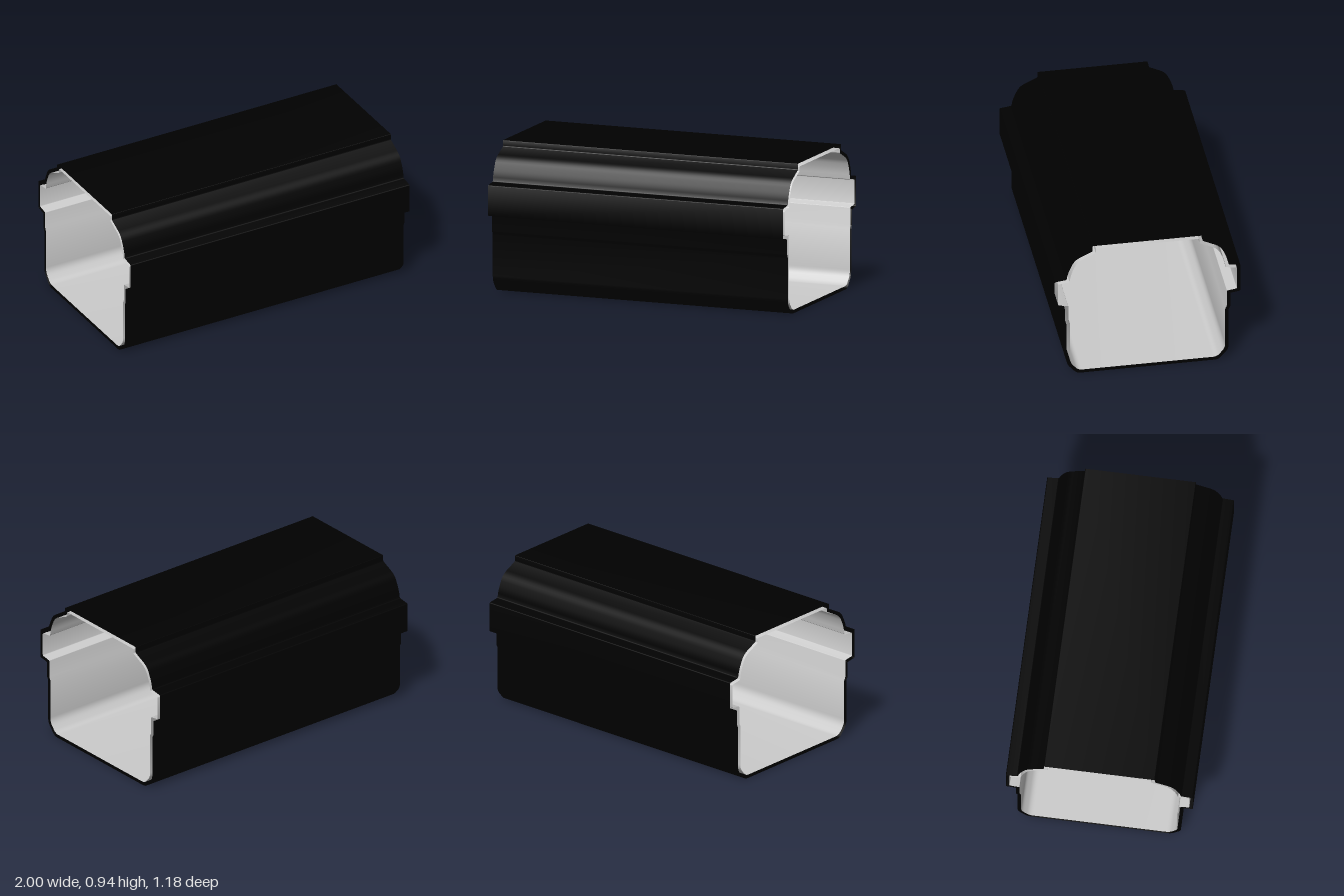
import * as THREE from 'three';
import { toCreasedNormals } from 'three/addons/utils/BufferGeometryUtils.js';

// Half of the trunking cross-section: [z, y, corner radius], bottom to top
const HALF = [
  [0.45, 0, 0.025],
  [0.515, 0.075, 0.03],
  [0.515, 0.37, 0.004],
  [0.525, 0.39, 0.004],
  [0.525, 0.49, 0.005],
  [0.59, 0.5, 0.008],
  [0.59, 0.695, 0.008],
  [0.515, 0.705, 0.005],
  [0.505, 0.755, 0.03],
  [0.465, 0.845, 0.04],
  [0.35, 0.9, 0.005],
  [0.35, 0.94, 0.006],
];

function fullProfile() {
  const mirrored = HALF.map(([z, y, r]) => [-z, y, r]).reverse();
  return [...HALF, ...mirrored];
}

// Moves every edge of the closed profile inward by t
function inset(points, t) {
  const n = points.length;
  const normal = (a, b) => new THREE.Vector2(b[1] - a[1], a[0] - b[0]).normalize();
  return points.map((p, i) => {
    const n1 = normal(points[(i + n - 1) % n], p);
    const n2 = normal(p, points[(i + 1) % n]);
    const k = t / (1 + n1.dot(n2));
    return [p[0] - (n1.x + n2.x) * k, p[1] - (n1.y + n2.y) * k, p[2]];
  });
}

// Replaces each corner with a short curve
function roundCorners(points, steps = 5) {
  const n = points.length;
  const v = points.map(([z, y]) => new THREE.Vector2(z, y));
  const out = [];
  v.forEach((p, i) => {
    const toward = (q) => {
      const d = q.clone().sub(p);
      const len = d.length();
      return p.clone().addScaledVector(d, Math.min(points[i][2], len * 0.45) / len);
    };
    const curve = new THREE.QuadraticBezierCurve(toward(v[(i + n - 1) % n]), p, toward(v[(i + 1) % n]));
    out.push(...curve.getPoints(steps));
  });
  return out;
}

// Sweeps the closed profile along x, leaving the ends open
function sweep(profile, inward) {
  const positions = [];
  profile.forEach((a, i) => {
    const b = profile[(i + 1) % profile.length];
    const quad = [[-1, a], [1, a], [1, b], [-1, a], [1, b], [-1, b]];
    if (inward) quad.reverse();
    for (const [x, p] of quad) positions.push(x, p.y, p.x);
  });
  const geometry = new THREE.BufferGeometry();
  geometry.setAttribute('position', new THREE.Float32BufferAttribute(positions, 3));
  return toCreasedNormals(geometry, 0.6);
}

export function createModel() {
  const group = new THREE.Group();
  group.name = 'cableTrunking';
  const addShell = (name, profile, color, inward) => {
    const material = new THREE.MeshStandardMaterial({ color, side: THREE.DoubleSide });
    const mesh = new THREE.Mesh(sweep(roundCorners(profile), inward), material);
    mesh.name = name;
    group.add(mesh);
  };
  const outer = fullProfile();

  // Black outer skin and grey inner lining with a thin open gap between them
  addShell('outerShell', outer, 0x000000, false);
  addShell('innerLining', inset(outer, 0.022), 0xcccccc, true);
  return group;
}
